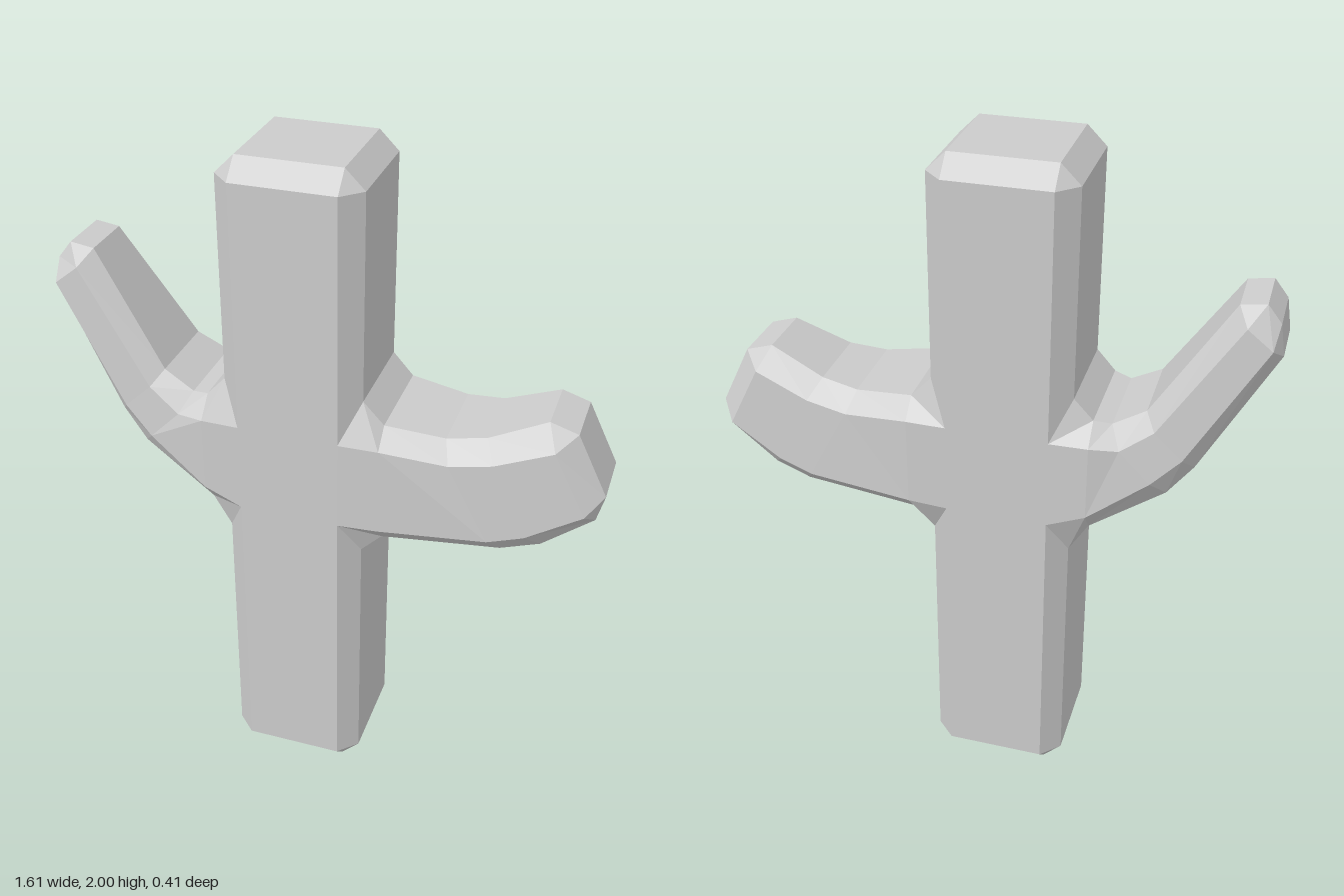
import * as THREE from 'three';

const material = new THREE.MeshStandardMaterial({ color: 0xcccccc, flatShading: true });

// Skin a run of eight-point rings and close both ends
function loft(name, rings, flip = false) {
  const pos = [];
  const tri = (a, b, c) => (flip ? [a, c, b] : [a, b, c]).forEach((p) => pos.push(...p));
  const n = rings[0].length;
  for (let r = 0; r < rings.length - 1; r++) {
    const a = rings[r], b = rings[r + 1];
    for (let i = 0; i < n; i++) {
      const j = (i + 1) % n;
      tri(a[i], a[j], b[j]);
      tri(a[i], b[j], b[i]);
    }
  }
  const first = rings[0], last = rings[rings.length - 1];
  for (let i = 1; i < n - 1; i++) {
    tri(first[0], first[i + 1], first[i]);
    tri(last[0], last[i], last[i + 1]);
  }
  const geometry = new THREE.BufferGeometry();
  geometry.setAttribute('position', new THREE.Float32BufferAttribute(pos, 3));
  geometry.computeVertexNormals();
  const mesh = new THREE.Mesh(geometry, material);
  mesh.name = name;
  return mesh;
}

// Chamfered square ring of the trunk; outer is the half width, inner the half flat
function trunkRing(y, outer, inner) {
  const cx = -0.0725;
  return [
    [outer, inner], [outer, -inner], [inner, -outer], [-inner, -outer],
    [-outer, -inner], [-outer, inner], [-inner, outer], [inner, outer],
  ].map(([x, z]) => [cx + x, y, z]);
}

// Arm ring: top edge, upper side, lower side, bottom edge, flat and full half depth
function armRing([top, upper, lower, bottom, flat, full]) {
  const half = [[...top, flat], [...upper, full], [...lower, full], [...bottom, flat]];
  return [...half, ...half.slice().reverse().map(([x, y, z]) => [x, y, -z])];
}

export function createModel() {
  const group = new THREE.Group();
  group.name = 'cactus';

  // Square trunk with bevelled edges and ends
  group.add(loft('trunk', [
    trunkRing(0, 0.147, 0.147),
    trunkRing(0.055, 0.2025, 0.147),
    trunkRing(1.945, 0.2025, 0.147),
    trunkRing(2, 0.147, 0.147),
  ]));

  // Thick, short arm with a flared root
  group.add(loft('leftArm', [
    [[0.13, 1.345], [0.0745, 1.225], [0.0745, 0.955], [0.13, 0.845], 0.147, 0.2025],
    [[0.19, 1.28], [0.19, 1.225], [0.19, 0.96], [0.19, 0.905], 0.145, 0.2],
    [[0.36, 1.26], [0.38, 1.205], [0.50, 0.98], [0.53, 0.93], 0.125, 0.178],
    [[0.47, 1.275], [0.50, 1.225], [0.60, 1.01], [0.64, 0.96], 0.11, 0.168],
    [[0.63, 1.345], [0.66, 1.285], [0.755, 1.10], [0.78, 1.06], 0.09, 0.15],
    [[0.71, 1.32], [0.71, 1.32], [0.80, 1.14], [0.80, 1.14], 0.09, 0.09],
  ].map(armRing)));

  // Slender arm that bends upward
  group.add(loft('rightArm', [
    [[-0.275, 1.345], [-0.2195, 1.225], [-0.2195, 0.955], [-0.275, 0.845], 0.147, 0.2025],
    [[-0.33, 1.285], [-0.33, 1.225], [-0.33, 1.0], [-0.33, 0.935], 0.145, 0.2],
    [[-0.38, 1.275], [-0.41, 1.22], [-0.50, 1.13], [-0.54, 1.08], 0.13, 0.18],
    [[-0.47, 1.325], [-0.50, 1.285], [-0.58, 1.21], [-0.61, 1.17], 0.12, 0.165],
    [[-0.68, 1.65], [-0.71, 1.61], [-0.78, 1.555], [-0.805, 1.52], 0.08, 0.135],
    [[-0.75, 1.66], [-0.75, 1.66], [-0.79, 1.61], [-0.79, 1.61], 0.08, 0.08],
  ].map(armRing), true));

  return group;
}
